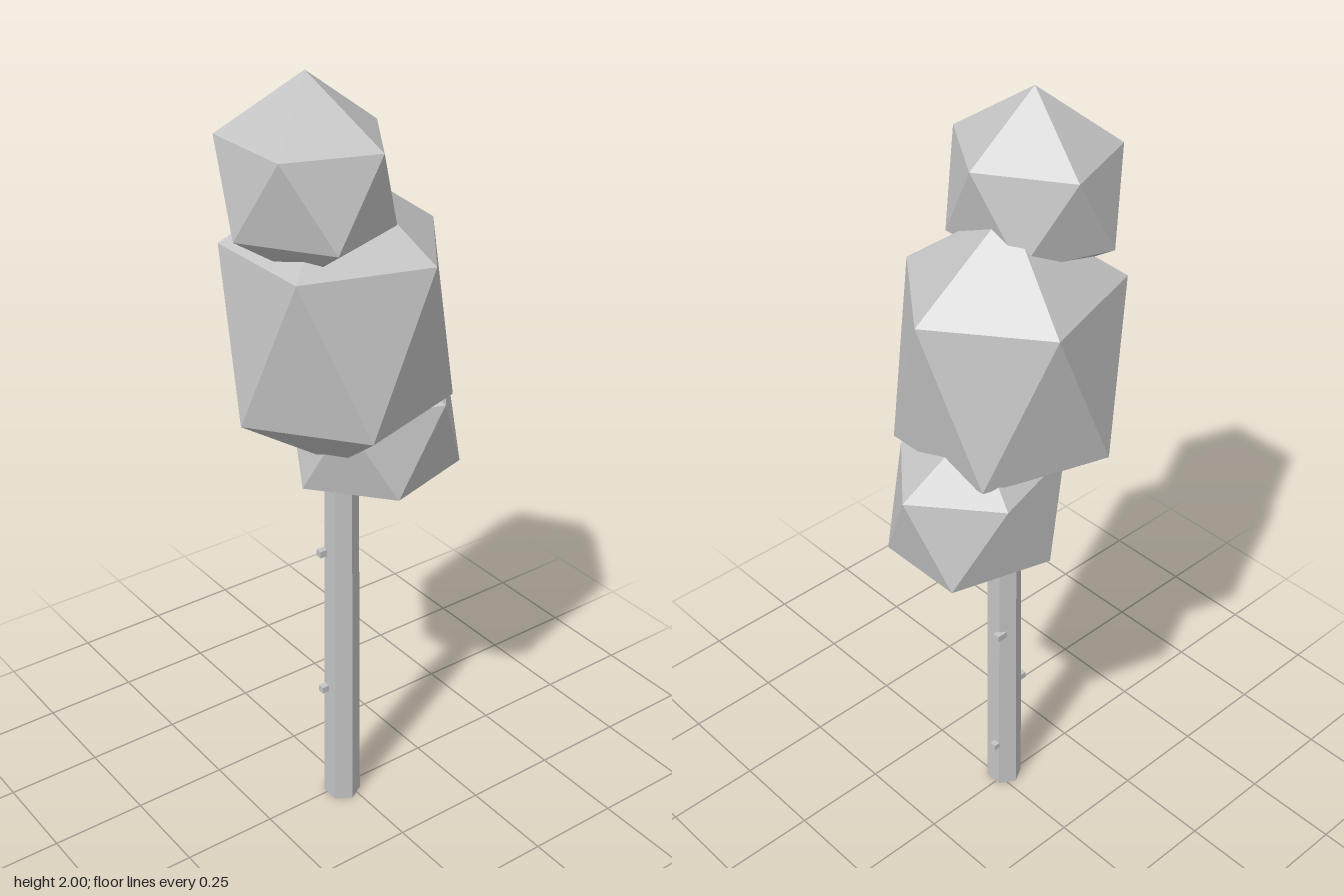
import * as THREE from 'three';

const grey = new THREE.MeshStandardMaterial({ color: 0xc4c4c4 });
grey.name = 'plain grey';
grey.flatShading = true;

// Twenty-sided clump: two staggered rings of five points between two tips
function clump(name, { x, z, rx, rz, top, upper, lower, bottom }) {
  const ring = (y, turn) => Array.from({ length: 5 }, (_, i) => {
    const a = turn + (i * Math.PI * 2) / 5;
    return [x + Math.cos(a) * rx, y, z + Math.sin(a) * rz];
  });
  const points = [[x, top, z], ...ring(upper, 0), ...ring(lower, Math.PI / 5), [x, bottom, z]];
  const faces = [];
  for (let i = 0; i < 5; i++) {
    const j = (i + 1) % 5;
    const u = 1 + i, un = 1 + j, l = 6 + i, ln = 6 + j;
    faces.push(0, un, u, u, un, l, un, ln, l, l, ln, 11);
  }
  let geometry = new THREE.BufferGeometry();
  geometry.setAttribute('position', new THREE.Float32BufferAttribute(points.flat(), 3));
  geometry.setIndex(faces);
  geometry = geometry.toNonIndexed();
  geometry.computeVertexNormals();
  const mesh = new THREE.Mesh(geometry, grey);
  mesh.name = name;
  return mesh;
}

export function createModel() {
  const tree = new THREE.Group();
  tree.name = 'tree';

  // Six-sided, slightly tapered trunk running up into the leaves
  const trunk = new THREE.Mesh(new THREE.CylinderGeometry(0.042, 0.048, 1.06, 6), grey);
  trunk.name = 'trunk';
  trunk.position.set(-0.022, 0.53, 0.012);
  tree.add(trunk);

  // Small stubs alternating up both sides of the trunk
  const stubs = [
    [0.02, 0.15, -0.003],
    [-0.066, 0.35, 0],
    [0.016, 0.555, -0.013],
    [-0.064, 0.76, -0.008],
  ];
  for (const [x, y, z] of stubs) {
    const stub = new THREE.Mesh(new THREE.BoxGeometry(0.03, 0.018, 0.018), grey);
    stub.name = 'branchStub';
    stub.position.set(x, y, z);
    tree.add(stub);
  }

  // Three stacked leaf clumps
  tree.add(
    clump('lowerLeaves', {
      x: 0.112, z: -0.03, rx: 0.221, rz: 0.195, top: 1.28, upper: 1.163, lower: 0.947, bottom: 0.855,
    }),
    clump('middleLeaves', {
      x: -0.025, z: 0.004, rx: 0.276, rz: 0.263, top: 1.77, upper: 1.577, lower: 1.19, bottom: 1.007,
    }),
    clump('topLeaves', {
      x: -0.142, z: 0.048, rx: 0.191, rz: 0.21, top: 2, upper: 1.86, lower: 1.66, bottom: 1.535,
    }),
  );
  return tree;
}
